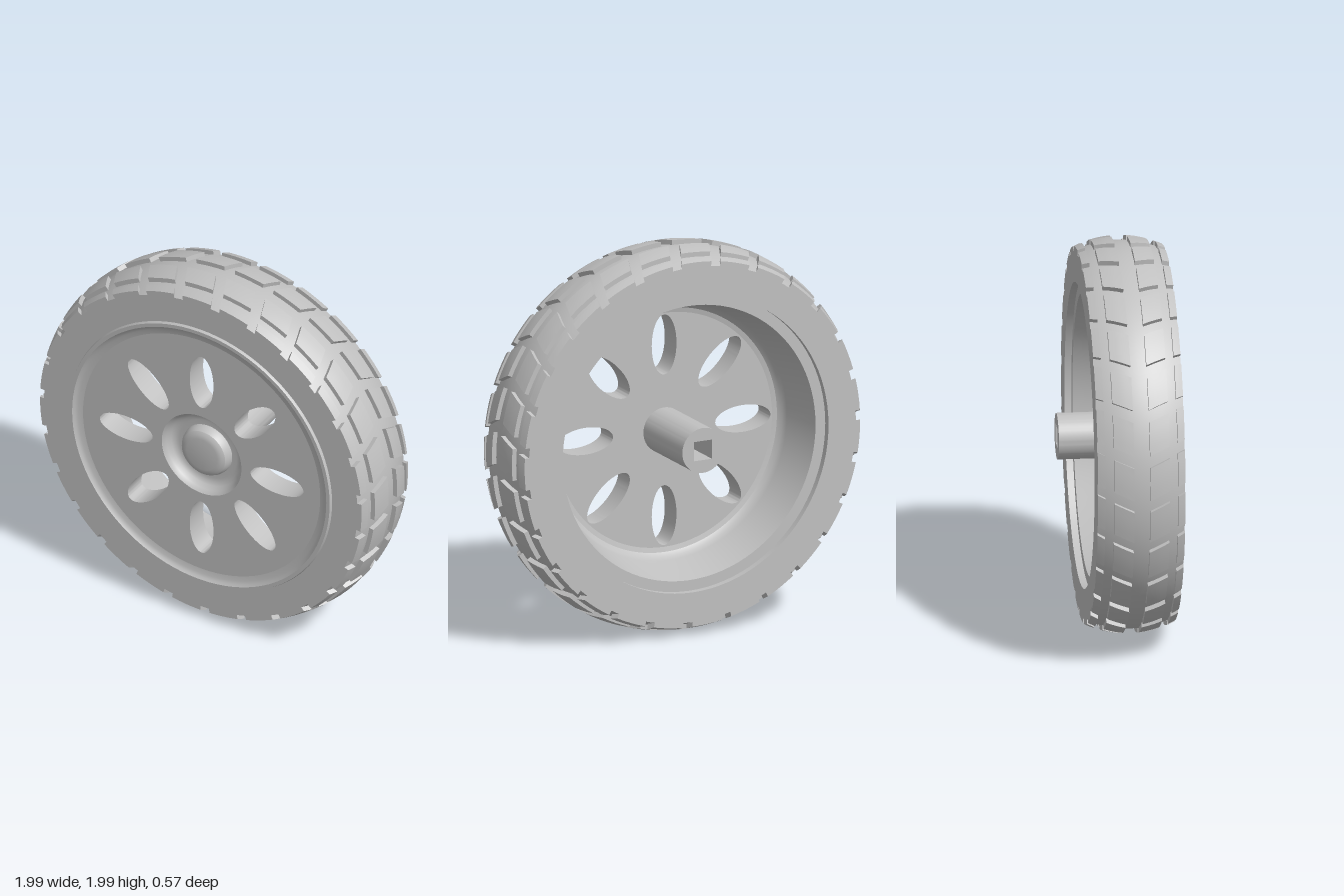
import * as THREE from 'three';
import { mergeGeometries, toCreasedNormals } from 'three/addons/utils/BufferGeometryUtils.js';

const MID = 0.05;      // z of the tyre's middle plane
const HALF = 0.22;     // half the tyre width
const BLOCKS = 27;     // tread blocks per row
const WEB_BACK = 0.135;
const WEB_FRONT = 0.262;

// Crowned carcass radius at depth z
const carcass = z => 0.975 - 0.05 * ((z - MID) / HALF) ** 2;

// Revolve [radius, z] points around the z axis, keeping hard edges
function revolve(points, segments = 96) {
  const g = new THREE.LatheGeometry(points.map(p => new THREE.Vector2(p[0], p[1])), segments);
  g.rotateX(Math.PI / 2);
  return toCreasedNormals(g, 0.5);
}

// Extrude a shape along z between two depths
function extrude(shape, back, front) {
  const g = new THREE.ExtrudeGeometry(shape, { depth: front - back, bevelEnabled: false, curveSegments: 40 });
  g.translate(0, 0, back);
  return toCreasedNormals(g, 0.5);
}

// One ring of slanted blocks: box vertices bent onto the crowned tyre
function treadRow(side, near, far, width, height) {
  const block = new THREE.BoxGeometry(1, 1, 1, 4, 1, 3);
  const pos = block.attributes.position;
  for (let i = 0; i < pos.count; i++) {
    const t = pos.getZ(i) + 0.5;
    const d = side > 0 ? near + (far - near) * t : far + (near - far) * t;
    const z = MID + side * d;
    const r = carcass(z) + (pos.getY(i) > 0 ? height : -0.015);
    const a = -pos.getX(i) * width - 0.45 * (d - 0.2);
    pos.setXYZ(i, r * Math.cos(a), r * Math.sin(a), z);
  }
  block.computeVertexNormals();
  const phase = THREE.MathUtils.degToRad(-88) + Math.PI / BLOCKS;
  const ring = [];
  for (let i = 0; i < BLOCKS; i++) {
    ring.push(block.clone().rotateZ(phase + (i * 2 * Math.PI) / BLOCKS));
  }
  return mergeGeometries(ring);
}

export function createModel() {
  const model = new THREE.Group();
  model.name = 'wheel';
  const grey = new THREE.MeshStandardMaterial({ color: 0xc0c0c0 });
  grey.name = 'grey';
  const wheel = new THREE.Group();
  wheel.name = 'wheelAssembly';
  wheel.position.y = 1;
  model.add(wheel);
  const add = (name, geometry) => {
    const mesh = new THREE.Mesh(geometry, grey);
    mesh.name = name;
    wheel.add(mesh);
  };

  // Tyre carcass with flat sidewalls
  const crown = [];
  for (let i = 0; i <= 12; i++) {
    const z = MID - HALF + (i / 12) * 2 * HALF;
    crown.push([carcass(z), z]);
  }
  add('tyre', revolve([[0.77, -0.17], ...crown, [0.77, 0.27], [0.77, -0.17]]));

  // Tread: two chevron rows and two shoulder rows
  for (const side of [1, -1]) {
    const label = side > 0 ? 'front' : 'back';
    add(label + 'TreadBlocks', treadRow(side, 0.04, 0.14, 0.17, 0.024));
    add(label + 'ShoulderBlocks', treadRow(side, 0.183, HALF, 0.178, 0.024));
  }

  // Rim: raised front lip, filleted into the web, and tapering barrel open to the back
  add('rim', revolve([
    [0.715, -0.135], [0.775, -0.135], [0.775, 0.27], [0.77, 0.285], [0.75, 0.285],
    [0.74, 0.274], [0.725, 0.266], [0.70, WEB_FRONT], [0.65, 0.25], [0.61, WEB_BACK],
    [0.635, 0.129], [0.655, 0.11], [0.665, 0.08], [0.715, -0.135],
  ]));

  // Web disc with eight oval slots
  const disc = new THREE.Shape().absarc(0, 0, 0.62, 0, Math.PI * 2);
  disc.holes.push(new THREE.Path().absarc(0, 0, 0.235, 0, Math.PI * 2, true));
  for (let i = 0; i < 8; i++) {
    const a = (i * Math.PI) / 4;
    disc.holes.push(new THREE.Path().absellipse(
      0.445 * Math.cos(a), 0.445 * Math.sin(a), 0.156, 0.07, 0, Math.PI * 2, true, a));
  }
  add('web', extrude(disc, WEB_BACK, WEB_FRONT));

  // Flat ring joining the web face to the rim fillet
  const face = new THREE.RingGeometry(0.618, 0.702, 96);
  face.translate(0, 0, WEB_FRONT);
  add('webFaceRing', face);

  // Hub centre: shallow dished recess with a rounded cap
  add('hubCap', revolve([
    [0, WEB_BACK], [0.24, WEB_BACK], [0.24, WEB_FRONT], [0.234, 0.258], [0.222, 0.238],
    [0.208, 0.215], [0.19, 0.203], [0.17, 0.2], [0.142, 0.2], [0.138, 0.225],
    [0.128, 0.245], [0.112, 0.256], [0.09, 0.26], [0, 0.26],
  ], 64));

  // Axle sleeve with a square socket
  const sleeve = new THREE.Shape().absarc(0, 0, 0.117, 0, Math.PI * 2);
  const s = 0.05;
  sleeve.holes.push(new THREE.Path([[-s, -s], [-s, s], [s, s], [s, -s]]
    .map(p => new THREE.Vector2(p[0], p[1]))));
  add('axleSleeve', extrude(sleeve, -0.285, WEB_BACK + 0.005));

  return model;
}
